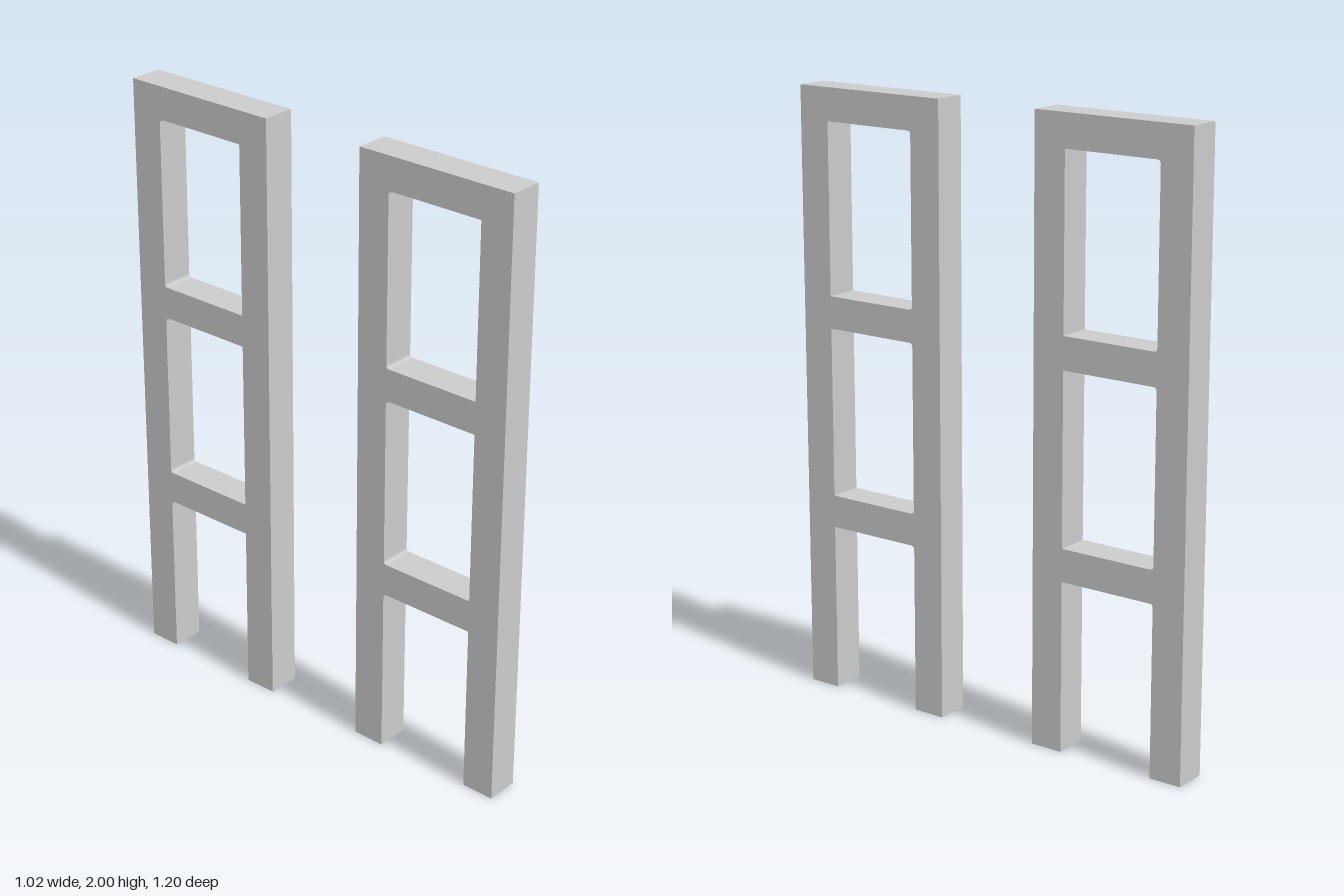
import * as THREE from 'three';

const WIDTH = 0.554, DEPTH = 0.11, HEIGHT = 2, POST = 0.11, FILLET = 0.012;
const LEFT = -WIDTH / 2 + POST, RIGHT = WIDTH / 2 - POST;

// Rectangular opening with small fillets along its left post
function opening(bottom, top) {
  const hole = new THREE.Path();
  hole.moveTo(RIGHT, bottom);
  hole.lineTo(RIGHT, top);
  hole.lineTo(LEFT + FILLET, top);
  hole.quadraticCurveTo(LEFT, top, LEFT, top - FILLET);
  hole.lineTo(LEFT, bottom + FILLET);
  hole.quadraticCurveTo(LEFT, bottom, LEFT + FILLET, bottom);
  hole.closePath();
  return hole;
}

// Two posts joined by a top rail and two rungs, open at the foot
function frameGeometry() {
  const s = new THREE.Shape();
  s.moveTo(-WIDTH / 2, 0);
  s.lineTo(LEFT, 0);
  s.lineTo(LEFT, 0.56 - FILLET);
  s.quadraticCurveTo(LEFT, 0.56, LEFT + FILLET, 0.56);
  s.lineTo(RIGHT, 0.56);
  s.lineTo(RIGHT, 0);
  s.lineTo(WIDTH / 2, 0);
  s.lineTo(WIDTH / 2, HEIGHT);
  s.lineTo(-WIDTH / 2, HEIGHT);
  s.closePath();
  s.holes.push(opening(0.667, 1.227), opening(1.333, 1.893));
  const g = new THREE.ExtrudeGeometry(s, { depth: DEPTH, bevelEnabled: false, curveSegments: 4 });
  return g.translate(0, 0, -DEPTH / 2);
}

export function createModel() {
  const model = new THREE.Group();
  model.name = 'ladderFrames';
  const material = new THREE.MeshStandardMaterial({ color: 0xcccccc });
  const geometry = frameGeometry();

  // Two parallel upright frames, turned about the vertical axis
  for (const [name, side] of [['frontLeftFrame', 1], ['backRightFrame', -1]]) {
    const frame = new THREE.Mesh(geometry, material);
    frame.name = name;
    frame.position.set(side * 0.292, 0, side * 0.35);
    frame.rotation.y = -0.88;
    model.add(frame);
  }
  return model;
}
